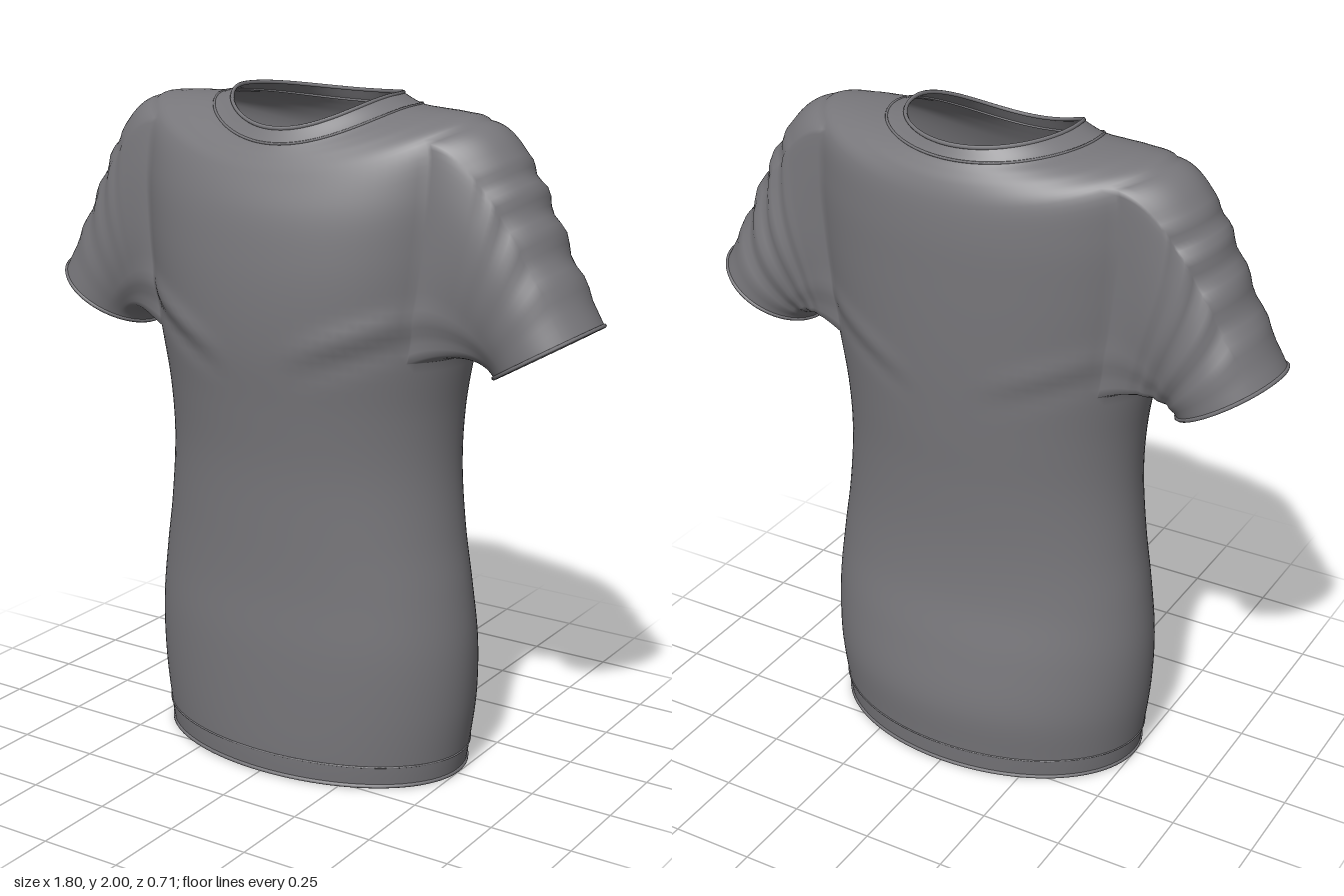
import * as THREE from 'three';

const COLS = 96, SUB = 6, HALF = 9, SLEEVE = 28;

// Torso rings: side y, half width, front y, front z, back y, back depth
const RINGS = [
  [0.00, 0.497, 0.00, 0.312, 0.00, 0.333],
  [0.07, 0.508, 0.07, 0.318, 0.07, 0.340],
  [0.22, 0.526, 0.22, 0.322, 0.22, 0.352],
  [0.40, 0.530, 0.40, 0.322, 0.40, 0.328],
  [0.58, 0.512, 0.58, 0.315, 0.58, 0.294],
  [0.75, 0.487, 0.75, 0.315, 0.75, 0.281],
  [0.95, 0.470, 0.95, 0.320, 0.95, 0.284],
  [1.12, 0.477, 1.12, 0.335, 1.12, 0.295],
  [1.29, 0.505, 1.29, 0.353, 1.29, 0.304], // armhole bottom
  [1.45, 0.530, 1.43, 0.356, 1.43, 0.308],
  [1.62, 0.550, 1.56, 0.347, 1.58, 0.309],
  [1.80, 0.560, 1.69, 0.324, 1.73, 0.306],
  [1.945, 0.540, 1.79, 0.285, 1.83, 0.294], // armhole top
  [1.962, 0.460, 1.83, 0.265, 1.88, 0.278],
  [1.965, 0.390, 1.85, 0.254, 1.91, 0.262],
  [1.970, 0.315, 1.87, 0.243, 1.935, 0.247],
  [1.995, 0.250, 1.91, 0.222, 1.97, 0.230],
];
const LOW = 8 * SUB, HIGH = 12 * SUB, ROWS = (RINGS.length - 1) * SUB;

const smooth = THREE.MathUtils.smoothstep;
const lerp = THREE.MathUtils.lerp;

// One vertical curve of the torso at a given angle around it
function torsoColumn(angle) {
  const c = Math.cos(angle), s = Math.sin(angle);
  return new THREE.CatmullRomCurve3(RINGS.map(([ys, w, yf, zf, yb, zb]) =>
    new THREE.Vector3(w * c, lerp(ys, s > 0 ? yf : yb, s * s), s * (s > 0 ? zf : zb))));
}

// Diagonal pull folds running from the armpits across the chest and back
function addFold(p) {
  const ax = Math.abs(p.x);
  const dist = p.y - (1.27 + 0.38 * (ax - 0.05));
  const reach = smooth(ax, 0.06, 0.28) * (1 - smooth(ax, 0.38, 0.5));
  const ridge = Math.exp(-((dist / 0.035) ** 2)) - 0.6 * Math.exp(-(((dist + 0.06) / 0.03) ** 2));
  p.z += Math.sign(p.z) * (p.z > 0 ? 0.012 : 0.007) * reach * ridge;
}

// Point on the sleeve opening
function cuffPoint(side, phi) {
  const s = Math.sin(phi);
  return new THREE.Vector3(side * (0.752 + 0.143 * s), 1.328 + 0.085 * s, -0.01 + 0.17 * Math.cos(phi));
}

function createModel() {
  const fabric = new THREE.MeshStandardMaterial({ color: 0x77767a, side: THREE.DoubleSide });
  fabric.name = 'greyFabric';
  const shirt = new THREE.Group();
  shirt.name = 'tShirt';

  const points = [], faces = [];
  const quad = (a, b, c, d) => faces.push(a, b, c, a, c, d);
  const at = (i, j) => i * COLS + ((j + COLS) % COLS);

  // Torso grid, leaving an armhole on each side
  const columns = Array.from({ length: COLS }, (_, j) => torsoColumn((j / COLS) * Math.PI * 2));
  for (let i = 0; i <= ROWS; i++) {
    for (let j = 0; j < COLS; j++) {
      const p = columns[j].getPoint(i / ROWS);
      addFold(p);
      points.push(p);
    }
  }
  for (let i = 0; i < ROWS; i++) {
    for (let j = 0; j < COLS; j++) {
      const fromSide = (j + HALF) % (COLS / 2);
      if (i >= LOW && i < HIGH && fromSide < 2 * HALF) continue;
      quad(at(i, j), at(i + 1, j), at(i + 1, j + 1), at(i, j + 1));
    }
  }

  // Sleeves, each drawn out from its armhole edge to the cuff
  const cuffs = [];
  for (const side of [1, -1]) {
    const mid = side > 0 ? 0 : COLS / 2;
    const loop = [];
    for (let j = -HALF; j < HALF; j++) loop.push(at(LOW, mid + j));
    for (let i = LOW; i < HIGH; i++) loop.push(at(i, mid + HALF));
    for (let j = HALF; j > -HALF; j--) loop.push(at(HIGH, mid + j));
    for (let i = HIGH; i > LOW; i--) loop.push(at(i, mid - HALF));

    const down = new THREE.Vector3(side * 0.5, -0.86, 0);
    const paths = loop.map((index) => {
      const start = points[index];
      const phi = Math.atan2((start.y - 1.617) / 0.33, start.z / 0.2);
      const end = cuffPoint(side, phi);
      const t = (Math.sin(phi) + 1) / 2;
      const d = start.distanceTo(end);
      const out = new THREE.Vector3(side * lerp(0.6, 1, t), lerp(0.45, -0.12, t), 0);
      const curve = new THREE.CubicBezierCurve3(start,
        start.clone().addScaledVector(out, d * lerp(0.35, 0.2, t)),
        end.clone().addScaledVector(down, -d * lerp(0.4, 0.58, t)), end);
      return { curve, phi };
    });

    let previous = loop;
    for (let k = 1; k <= SLEEVE; k++) {
      const u = k / SLEEVE;
      const ring = paths.map(({ curve, phi }) => {
        const p = curve.getPoint(u);
        // Soft creases around the outer and rear side of the sleeve
        const amount = smooth(u, 0.3, 0.5) * (1 - smooth(u, 0.85, 0.97))
          * Math.max(0, 0.45 + 0.35 * Math.sin(phi) - 0.3 * Math.cos(phi));
        const radial = cuffPoint(side, phi).sub(cuffPoint(side, phi + Math.PI)).normalize();
        p.addScaledVector(radial, 0.008 * amount * Math.sin(u * 38 + Math.cos(phi)));
        return points.push(p) - 1;
      });
      for (let m = 0; m < loop.length; m++) {
        const n = (m + 1) % loop.length;
        quad(previous[m], ring[m], ring[n], previous[n]);
      }
      previous = ring;
    }
    cuffs.push(previous.map((index) => points[index]));
  }

  const geometry = new THREE.BufferGeometry().setFromPoints(points);
  geometry.setIndex(faces);
  geometry.computeVertexNormals();
  const body = new THREE.Mesh(geometry, fabric);
  body.name = 'bodyAndSleeves';
  shirt.add(body);

  // Rolled edges and stitched seams
  function addEdge(name, path, radius, lift = 0) {
    const curve = new THREE.CatmullRomCurve3(path.map((p) => p.clone().setY(p.y + lift)), true);
    const edge = new THREE.Mesh(new THREE.TubeGeometry(curve, 128, radius, 6, true), fabric);
    edge.name = name;
    shirt.add(edge);
  }
  const row = (i) => points.slice(i * COLS, (i + 1) * COLS);
  addEdge('bottomHem', row(0), 0.007, 0.007);
  addEdge('hemSeam', row(SUB), 0.003);
  addEdge('neckSeam', row(ROWS - SUB), 0.004);
  addEdge('neckEdge', row(ROWS), 0.006);
  addEdge('leftCuff', cuffs[0], 0.006);
  addEdge('rightCuff', cuffs[1], 0.006);

  return shirt;
}

export { createModel };
